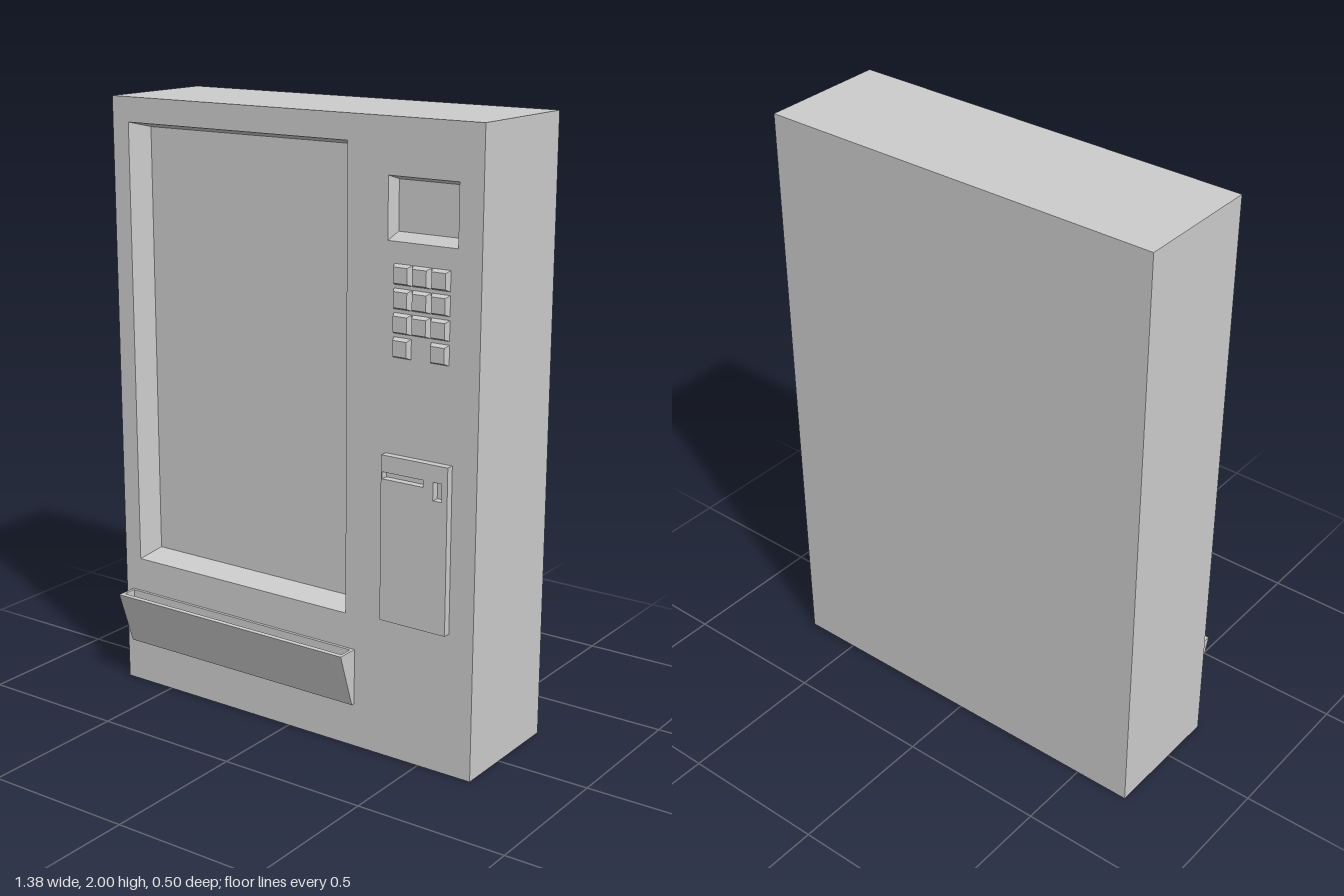
import * as THREE from 'three';

const material = new THREE.MeshStandardMaterial({ color: 0xcccccc, flatShading: true });
const FRONT = 0.175, BACK = -0.25;

// Rectangular cross-sections, counter-clockwise seen from the end of the loft
const rectXY = (x0, x1, y0, y1, z) => [[x0, y0, z], [x1, y0, z], [x1, y1, z], [x0, y1, z]];
const rectXZ = (x0, x1, z0, z1, y) => [[x0, y, z1], [x1, y, z1], [x1, y, z0], [x0, y, z0]];

// Joins four-cornered cross-sections with flat walls and optional caps
function loft(rings, capStart, capEnd) {
  const pos = [];
  const quad = (a, b, c, d) => pos.push(...a, ...b, ...c, ...a, ...c, ...d);
  for (let r = 0; r < rings.length - 1; r++) {
    const a = rings[r], b = rings[r + 1];
    for (let i = 0; i < 4; i++) {
      const j = (i + 1) % 4;
      quad(a[i], a[j], b[j], b[i]);
    }
  }
  if (capStart) quad(...[...rings[0]].reverse());
  if (capEnd) quad(...rings[rings.length - 1]);
  const geometry = new THREE.BufferGeometry();
  geometry.setAttribute('position', new THREE.Float32BufferAttribute(pos, 3));
  geometry.computeVertexNormals();
  return geometry;
}

// Flat rectangle with rectangular holes, each given as [x0, x1, y0, y1]
function plateShape(outer, holes) {
  const points = (r) => rectXY(...r, 0).map(([x, y]) => new THREE.Vector2(x, y));
  const shape = new THREE.Shape(points(outer));
  holes.forEach((h) => shape.holes.push(new THREE.Path(points(h))));
  return shape;
}

export function createModel() {
  const model = new THREE.Group();
  model.name = 'vendingMachine';
  const add = (name, geometry, parent = model) => {
    const mesh = new THREE.Mesh(geometry, material);
    mesh.name = name;
    parent.add(mesh);
    return mesh;
  };

  // Cabinet sides and back, then the front face with its openings
  const body = [-0.69, 0.69, 0, 2];
  const windowOpening = [-0.625, 0.225, 0.445, 1.92];
  const screenOpening = [0.37, 0.61, 1.64, 1.83];
  add('cabinet', loft([rectXY(...body, BACK), rectXY(...body, FRONT)], true, false));
  const face = add('frontFace', new THREE.ShapeGeometry(plateShape(body, [windowOpening, screenOpening])));
  face.position.z = FRONT;

  // Recesses with sloped walls
  add('displayWindow', loft([
    rectXY(...windowOpening, FRONT),
    rectXY(-0.6, 0.205, 0.47, 1.9, FRONT - 0.08),
  ], false, true));
  add('screen', loft([
    rectXY(...screenOpening, FRONT),
    rectXY(0.386, 0.596, 1.664, 1.817, FRONT - 0.033),
  ], false, true));

  // Keypad of bevelled keys; the bottom row has no middle key
  const keypad = new THREE.Group();
  keypad.name = 'keypad';
  model.add(keypad);
  const w = 0.062, h = 0.062, bevel = 0.007;
  for (let row = 0; row < 4; row++) {
    for (let col = 0; col < 3; col++) {
      if (row === 3 && col === 1) continue;
      const x = 0.394 + col * 0.0655, y = 1.513 - row * 0.073;
      add('key', loft([
        rectXY(x, x + w, y, y + h, FRONT),
        rectXY(x + bevel, x + w - bevel, y + bevel, y + h - bevel, FRONT + 0.017),
      ], false, true), keypad);
    }
  }

  // Payment panel with a note slot and a coin slot
  const panel = add('paymentPanel', new THREE.ExtrudeGeometry(
    plateShape([0.37, 0.605, 0.465, 0.995], [
      [0.374, 0.52, 0.92, 0.942],
      [0.555, 0.585, 0.885, 0.942],
    ]), { depth: 0.025, bevelEnabled: false }));
  panel.position.z = FRONT;

  // Collection bin: wedge outside, open hopper inside
  add('collectionBin', loft([
    rectXZ(-0.66, 0.26, FRONT, 0.188, 0.145),
    rectXZ(-0.66, 0.26, FRONT, 0.25, 0.33),
    rectXZ(-0.65, 0.25, 0.185, 0.232, 0.33),
    rectXZ(-0.65, 0.25, 0.185, 0.202, 0.24),
  ], true, true));

  return model;
}
